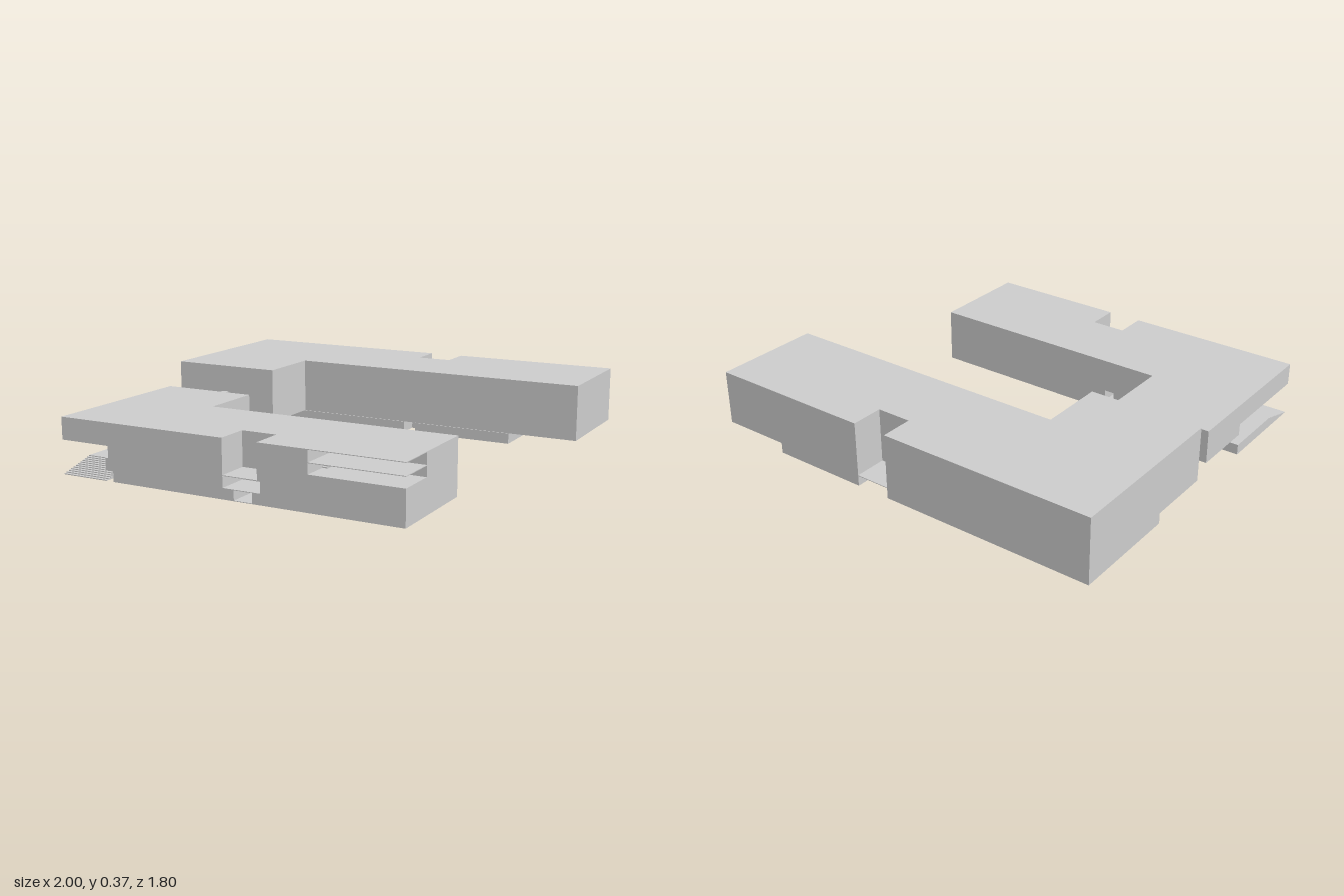
import * as THREE from 'three';

const material = new THREE.MeshStandardMaterial({ color: 0xcccccc, flatShading: true });

// Storey: a floor plan of [x, z] corners raised from y0 to y1
function storey(parent, name, y0, y1, plan) {
  const shape = new THREE.Shape(plan.map(([x, z]) => new THREE.Vector2(x, z)));
  const geo = new THREE.ExtrudeGeometry(shape, { depth: y1 - y0, bevelEnabled: false });
  geo.rotateX(Math.PI / 2).translate(0, y1, 0);
  const mesh = new THREE.Mesh(geo, material);
  mesh.name = name;
  parent.add(mesh);
}

// Box given by its limits on each axis
function block(parent, name, x0, x1, y0, y1, z0, z1) {
  const mesh = new THREE.Mesh(new THREE.BoxGeometry(x1 - x0, y1 - y0, z1 - z0), material);
  mesh.position.set((x0 + x1) / 2, (y0 + y1) / 2, (z0 + z1) / 2);
  mesh.name = name;
  parent.add(mesh);
}

// Thin slab with its top at y
const slab = (parent, name, x0, x1, y, z0, z1) =>
  block(parent, name, x0, x1, y - 0.003, y, z0, z1);

// Flight of steps climbing towards -z
function stairs(parent, name, x0, x1, y0, y1, zTop, zFoot, count) {
  const profile = [[zTop, y0], [zFoot, y0]];
  for (let i = 0; i < count; i++) {
    const y = y0 + (y1 - y0) * (i + 1) / count;
    profile.push([zFoot + (zTop - zFoot) * i / count, y]);
    profile.push([zFoot + (zTop - zFoot) * (i + 1) / count, y]);
    if (i < count - 1) continue;
    profile.pop();
    profile.push([zTop, y1]);
  }
  const shape = new THREE.Shape(profile.map(([z, y]) => new THREE.Vector2(-z, y)));
  const geo = new THREE.ExtrudeGeometry(shape, { depth: x1 - x0, bevelEnabled: false });
  geo.rotateY(Math.PI / 2).translate(x0, 0, 0);
  const mesh = new THREE.Mesh(geo, material);
  mesh.name = name;
  parent.add(mesh);
}

export function createModel() {
  const model = new THREE.Group();
  model.name = 'twinBuildings';

  // Front building
  const front = new THREE.Group();
  front.name = 'frontBuilding';
  model.add(front);
  storey(front, 'frontBase', 0, 0.05, [
    [-0.96, 0.4], [0.74, 0.4], [0.74, 0.9], [0.04, 0.9], [0.04, 0.745], [-0.05, 0.745],
    [-0.05, 0.9], [-0.68, 0.9], [-0.68, 0.71], [-0.96, 0.71]]);
  storey(front, 'frontLowerStorey', 0.05, 0.105, [
    [-0.72, 0.4], [-0.28, 0.4], [-0.28, 0.5], [-0.23, 0.5], [-0.23, 0.4], [0.74, 0.4],
    [0.74, 0.9], [0.08, 0.9], [0.08, 0.745], [-0.105, 0.745], [-0.105, 0.9], [-0.72, 0.9]]);
  storey(front, 'frontMiddleStorey', 0.105, 0.16, [
    [-0.96, 0.09], [-0.49, 0.09], [-0.49, 0.4], [0.74, 0.4], [0.74, 0.9], [0.065, 0.9],
    [0.065, 0.745], [-0.105, 0.745], [-0.105, 0.9], [-0.705, 0.9], [-0.705, 0.4], [-0.96, 0.4]]);
  storey(front, 'frontUpperStorey', 0.16, 0.265, [
    [-0.96, 0.09], [-0.49, 0.09], [-0.49, 0.4], [0.74, 0.4], [0.74, 0.71], [0.305, 0.71],
    [0.305, 0.9], [0.065, 0.9], [0.065, 0.745], [-0.105, 0.745], [-0.105, 0.9], [-0.96, 0.9]]);

  // Floors of the entrance recess, and the corner balcony with its roof
  slab(front, 'entranceFloor', -0.05, 0.04, 0.003, 0.745, 0.9);
  slab(front, 'entranceLanding', -0.105, 0.08, 0.105, 0.745, 0.9);
  slab(front, 'entranceMidFloor', -0.05, 0.04, 0.05, 0.745, 0.9);
  slab(front, 'balconyShelf', 0.305, 0.74, 0.21, 0.71, 0.9);
  slab(front, 'balconyRoof', 0.305, 0.74, 0.265, 0.71, 0.9);

  // Outdoor steps to the sheltered terrace, and the small balcony steps
  stairs(front, 'terraceStairs', -0.96, -0.72, 0, 0.05, 0.71, 0.9, 12);
  stairs(front, 'balconySteps', 0.305, 0.33, 0.16, 0.185, 0.71, 0.78, 5);

  // Back building: the lower storey has an entrance recess and an end groove
  const back = new THREE.Group();
  back.name = 'backBuilding';
  model.add(back);
  storey(back, 'backLowerStorey', 0.055, 0.105, [
    [-1, -0.9], [0.03, -0.9], [0.03, -0.76], [0.197, -0.76], [0.197, -0.9], [0.67, -0.9],
    [0.67, -0.66], [0.6, -0.66], [0.6, -0.62], [0.67, -0.62], [0.67, -0.375],
    [0.18, -0.375], [0.18, -0.47], [0.12, -0.47], [0.12, -0.375], [-1, -0.375]]);
  storey(back, 'backUpperStorey', 0.105, 0.365, [
    [-1, -0.9], [0.03, -0.9], [0.03, -0.745], [0.197, -0.745], [0.197, -0.9], [1, -0.9],
    [1, -0.38], [-0.45, -0.38], [-0.45, -0.06], [-1, -0.06]]);
  slab(back, 'backEntranceFloor', 0.03, 0.197, 0.108, -0.9, -0.745);

  // Covered bridge between the two wings
  block(model, 'connectingBridge', -0.745, -0.71, 0.21, 0.235, -0.06, 0.09);
  return model;
}
